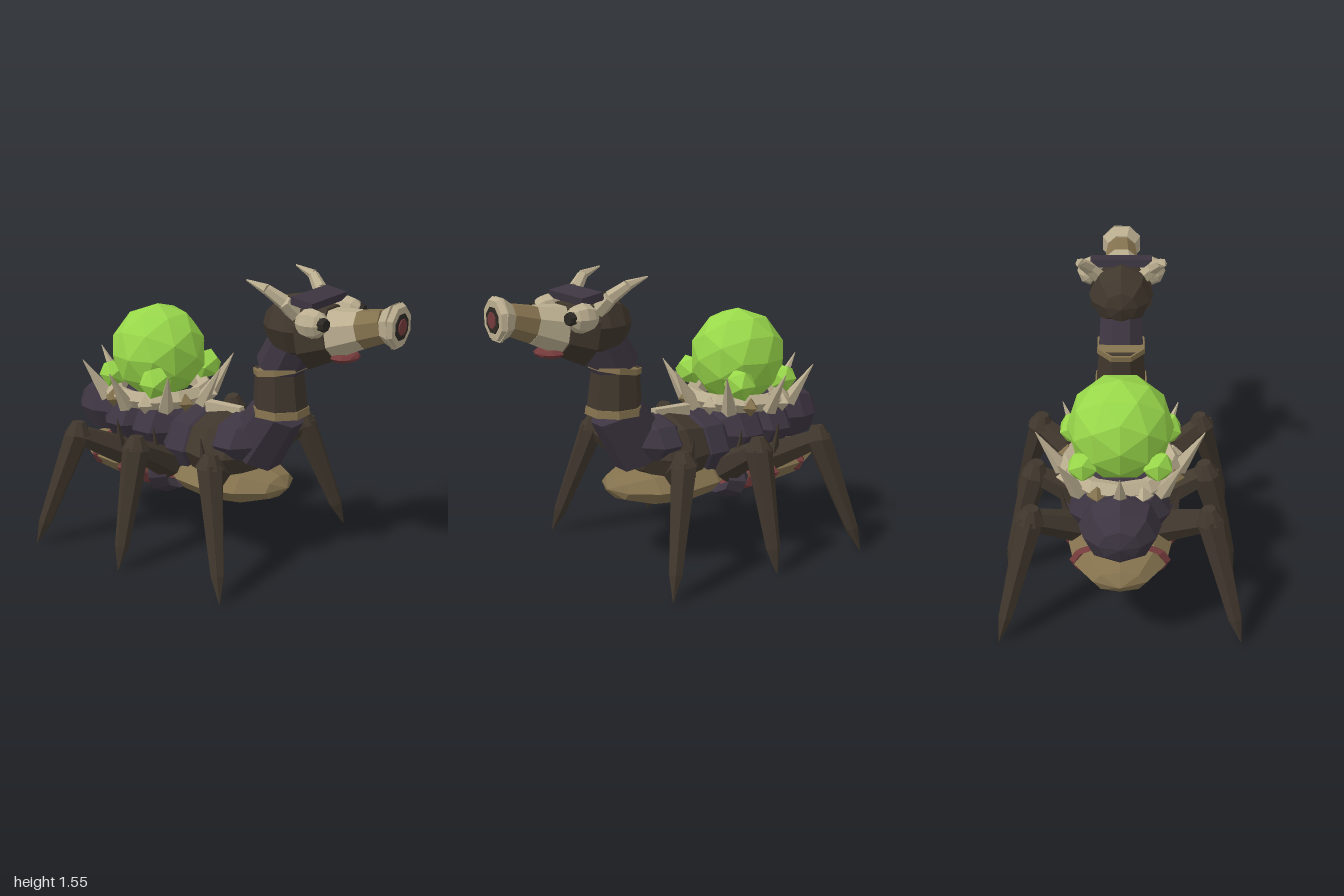
import * as THREE from 'three';

const mat = (name, color) => Object.assign(new THREE.MeshStandardMaterial({ color }), { name });
const V = (x, y, z) => new THREE.Vector3(x, y, z);

export function createModel() {
  const model = new THREE.Group();
  model.name = 'creature';
  const brown = mat('dark brown shell', 0x40372d);
  const purple = mat('dark purple hide', 0x3d3541);
  const khaki = mat('khaki plate', 0x84724e);
  const bone = mat('bone', 0xbbae90);
  const green = mat('acid green', 0x98d74a);
  const red = mat('dull red flesh', 0x743a3b);
  const pupil = mat('near black', 0x2d2924);

  // Faceted mesh: separate triangles give flat normals
  const add = (name, geo, material, pos = V(0, 0, 0)) => {
    const flat = geo.index ? geo.toNonIndexed() : geo;
    flat.computeVertexNormals();
    const mesh = new THREE.Mesh(flat, material);
    mesh.name = name;
    mesh.position.copy(pos);
    model.add(mesh);
    return mesh;
  };

  // Tapered prism running from a to b
  const bar = (name, a, b, r0, r1, material, sides = 8) => {
    const dir = b.clone().sub(a);
    const geo = new THREE.CylinderGeometry(r1, r0, dir.length(), sides);
    geo.rotateY(Math.PI / sides);
    const mesh = add(name, geo, material, a.clone().add(b).multiplyScalar(0.5));
    mesh.quaternion.setFromUnitVectors(V(0, 1, 0), dir.normalize());
    return mesh;
  };

  // Faceted ellipsoid with its poles along z
  const ball = (name, pos, rx, ry, rz, material, ws = 8, hs = 5) => {
    const geo = new THREE.SphereGeometry(1, ws, hs);
    geo.rotateX(Math.PI / 2).scale(rx, ry, rz);
    return add(name, geo, material, pos);
  };

  // Flattened hoop around the body axis
  const hoop = (name, z, y, rx, ry, material, tube = 0.1) => {
    const geo = new THREE.TorusGeometry(0.9, tube, 4, 12);
    geo.scale(rx, ry, 0.25);
    return add(name, geo, material, V(0, y, z));
  };

  // Thorax and shoulders
  ball('thorax', V(0, 0.59, 0), 0.27, 0.2, 0.24, brown, 8, 6);
  ball('shoulder', V(0, 0.66, 0.11), 0.25, 0.14, 0.17, purple);
  ball('waist', V(0, 0.58, -0.2), 0.24, 0.2, 0.18, purple);
  bar('backPlate', V(0, 0.79, 0.08), V(0, 0.78, -0.14), 0.03, 0.04, bone, 4);

  // Abdomen segments
  ball('abdomenFront', V(0, 0.64, -0.42), 0.25, 0.17, 0.18, purple);
  ball('abdomenMiddle', V(0, 0.65, -0.6), 0.26, 0.17, 0.18, purple);
  ball('abdomenRear', V(0, 0.68, -0.8), 0.2, 0.17, 0.2, purple, 8, 6);

  // Belly plates and the flesh between them
  ball('frontBelly', V(0, 0.42, 0), 0.27, 0.115, 0.37, khaki, 8, 6);
  ball('rearBelly', V(0, 0.43, -0.6), 0.26, 0.12, 0.37, khaki, 8, 6);
  hoop('bellyBelt', -0.31, 0.42, 0.27, 0.13, purple, 0.25);
  hoop('fleshBand', -0.4, 0.42, 0.28, 0.125, red);
  hoop('fleshBand', -0.53, 0.42, 0.3, 0.135, red);
  hoop('fleshBand', -0.76, 0.44, 0.25, 0.11, red);

  // Neck
  const n = [V(0, 0.6, 0.16), V(0, 0.85, 0.32), V(0, 1.07, 0.31), V(0, 1.27, 0.41)];
  bar('neckBase', n[0], n[1], 0.165, 0.14, purple);
  bar('neckMiddle', n[1], n[2], 0.145, 0.125, brown);
  bar('neckTop', n[2], n[3], 0.128, 0.115, purple);
  bar('neckRing', V(0, 0.83, 0.32), V(0, 0.87, 0.32), 0.155, 0.15, khaki);
  bar('neckRing', V(0, 1.05, 0.315), V(0, 1.08, 0.31), 0.14, 0.138, khaki);

  // Head, snout and mouth
  ball('head', V(0, 1.31, 0.44), 0.175, 0.165, 0.2, brown, 8, 6);
  bar('jaw', V(0, 1.275, 0.5), V(0, 1.3, 0.64), 0.18, 0.14, brown);
  bar('snoutBase', V(0, 1.295, 0.62), V(0, 1.34, 0.79), 0.135, 0.098, bone);
  bar('snoutBand', V(0, 1.34, 0.79), V(0, 1.375, 0.91), 0.098, 0.083, khaki);
  bar('snoutFlare', V(0, 1.375, 0.91), V(0, 1.382, 0.965), 0.083, 0.115, bone);
  bar('snoutRim', V(0, 1.382, 0.965), V(0, 1.382, 0.99), 0.115, 0.1, bone);
  bar('nostrilRim', V(0, 1.38, 0.988), V(0, 1.38, 0.994), 0.068, 0.066, pupil);
  bar('nostril', V(0, 1.38, 0.993), V(0, 1.38, 0.999), 0.042, 0.04, red);
  ball('mouth', V(0, 1.19, 0.69), 0.095, 0.03, 0.075, red);

  // Brow plate
  const brow = add('browPlate', new THREE.BoxGeometry(0.33, 0.04, 0.12), purple, V(0, 1.46, 0.535));
  brow.rotation.x = 0.18;

  for (const s of [-1, 1]) {
    // Eyes
    ball('eyeSocket', V(s * 0.17, 1.375, 0.6), 0.072, 0.075, 0.085, bone, 8, 6);
    bar('eye', V(s * 0.182, 1.38, 0.66), V(s * 0.185, 1.38, 0.69), 0.038, 0.03, pupil);

    // Horns
    const h = [V(s * 0.11, 1.39, 0.47), V(s * 0.17, 1.46, 0.44), V(s * 0.215, 1.52, 0.37), V(s * 0.225, 1.555, 0.26)];
    bar('hornBase', h[0], h[1], 0.042, 0.037, bone, 6);
    bar('hornMiddle', h[1], h[2], 0.037, 0.027, bone, 6);
    bar('hornTip', h[2], h[3], 0.027, 0.004, bone, 6);

    // Legs: hip z, knee z, foot z
    for (const [hz, kz, fz] of [[0.03, 0.19, 0.37], [-0.28, -0.285, -0.285], [-0.53, -0.69, -0.87]]) {
      const hip = V(s * 0.17, 0.47, hz);
      const knee = V(s * 0.44, 0.63, kz);
      const foot = V(s * 0.61, 0.005, fz);
      const ankle = knee.clone().lerp(foot, 0.8);
      bar('thigh', hip, knee, 0.088, 0.055, brown, 6);
      bar('kneeCap', knee, V(s * 0.43, 0.7, kz), 0.075, 0.035, brown);
      bar('shin', knee.clone().setY(0.635), ankle, 0.072, 0.037, brown, 6);
      bar('claw', ankle, foot, 0.037, 0.003, brown, 6);
      bar('hipThorn', V(s * 0.27, 0.54, hz), V(s * 0.3, 0.71, hz), 0.025, 0.002, brown, 4);
    }

    // Side thorn of flesh
    bar('fleshThorn', V(s * 0.285, 0.44, -0.52), V(s * 0.2, 0.29, -0.52), 0.03, 0.004, red, 4);

    // Small acid sacs
    add('smallSac', new THREE.IcosahedronGeometry(0.09), green, V(s * 0.225, 0.93, -0.32));
    add('smallSac', new THREE.IcosahedronGeometry(0.08), green, V(s * 0.18, 0.92, -0.65));
  }

  // Large acid sac
  add('acidSac', new THREE.IcosahedronGeometry(0.262, 1), green, V(0, 1.035, -0.475));

  // Bone collar with spikes and studs around the sac
  const collar = new THREE.TorusGeometry(0.255, 0.05, 5, 12);
  add('collar', collar.rotateX(Math.PI / 2), bone, V(0, 0.825, -0.475));
  for (let i = 0; i < 8; i++) {
    const a = i * Math.PI / 4;
    const at = (r, y) => V(Math.sin(a) * r, y, -0.475 + Math.cos(a) * r);
    bar('collarSpike', at(0.285, 0.79), at(0.415, 1), 0.045, 0.002, bone, 5);
    const b = a + Math.PI / 8;
    const stud = V(Math.sin(b) * 0.285, 0.81, -0.475 + Math.cos(b) * 0.285);
    add('collarStud', new THREE.OctahedronGeometry(0.052), i % 2 ? khaki : bone, stud);
  }
  return model;
}
